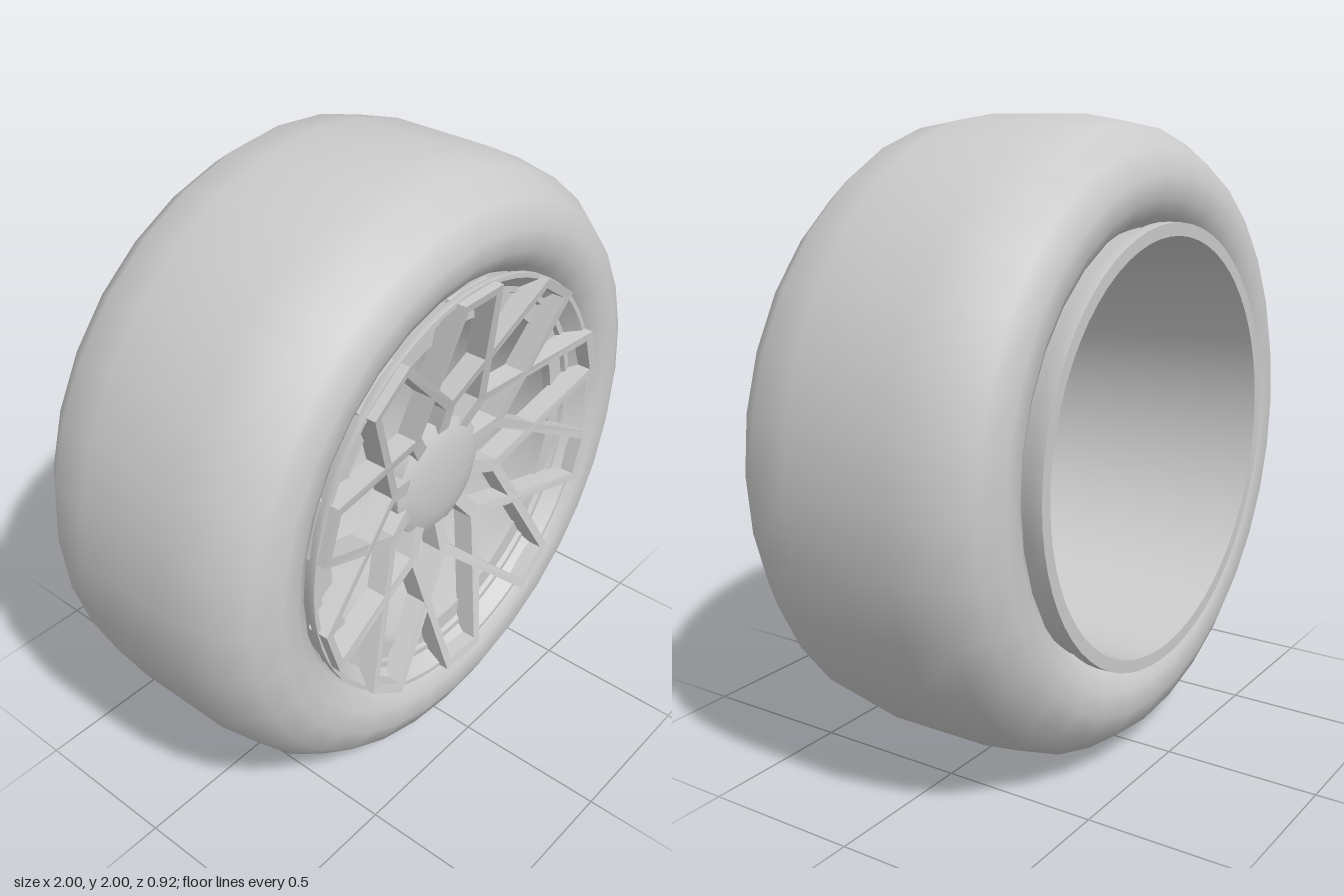
import * as THREE from 'three';
import { toCreasedNormals } from 'three/addons/utils/BufferGeometryUtils.js';

const material = new THREE.MeshStandardMaterial({ color: 0xcccccc });

// Turns a profile of [radius, z] points around the z axis
function turned(name, profile, segments, crease) {
  const points = profile.map(([r, z]) => new THREE.Vector2(r, z));
  let geometry = new THREE.LatheGeometry(points, segments).rotateX(Math.PI / 2);
  if (crease) geometry = toCreasedNormals(geometry, crease);
  const mesh = new THREE.Mesh(geometry, material);
  mesh.name = name;
  return mesh;
}

// Front surface of the spokes: dished towards the hub
const spokeFront = (r) => 0.46 - 0.24 * (0.68 - r);

// A flat bar between two points in the wheel plane, sheared to follow the dish
function bar(name, a, b, widthA, widthB, depth) {
  const from = new THREE.Vector2(...a);
  const to = new THREE.Vector2(...b);
  const dir = to.clone().sub(from).normalize();
  const side = new THREE.Vector2(-dir.y, dir.x);
  const corner = (p, w) => p.clone().addScaledVector(side, w / 2);
  const shape = new THREE.Shape([
    corner(from, -widthA), corner(to, -widthB), corner(to, widthB), corner(from, widthA),
  ]);
  const geometry = new THREE.ExtrudeGeometry(shape, { depth, bevelEnabled: false });
  const pos = geometry.attributes.position;
  for (let i = 0; i < pos.count; i++) {
    const r = Math.hypot(pos.getX(i), pos.getY(i));
    pos.setZ(i, pos.getZ(i) - depth + spokeFront(r));
  }
  geometry.computeVertexNormals();
  const mesh = new THREE.Mesh(geometry, material);
  mesh.name = name;
  return mesh;
}

export function createModel() {
  const wheel = new THREE.Group();
  wheel.name = 'wheel';
  wheel.position.y = 1;

  // Tyre: symmetric rounded section, closed inside
  const half = [[1, 0.17], [0.975, 0.315], [0.91, 0.405], [0.83, 0.443], [0.76, 0.437], [0.705, 0.405], [0.67, 0.35]];
  const section = [...half.map(([r, z]) => [r, -z]).reverse(), [1, 0], ...half];
  wheel.add(turned('tyre', [...section, section[0]], 32));

  // Rim: rear lip, tapered barrel and stepped front flange
  wheel.add(turned('rim', [
    [0.65, -0.462], [0.69, -0.462], [0.69, -0.42], [0.67, -0.38], [0.67, 0.38], [0.69, 0.41],
    [0.69, 0.43], [0.675, 0.43], [0.635, 0.385], [0.615, 0.385], [0.61, 0.37], [0.55, 0.37],
    [0.55, 0.34], [0.61, 0.34], [0.65, -0.462],
  ], 64, 0.6));

  // Hub: flat back, low dome in front
  wheel.add(turned('hub', [
    [0, 0.27], [0.2, 0.27], [0.2, 0.325], [0.17, 0.34], [0.12, 0.352], [0.06, 0.358], [0, 0.36],
  ], 40, 0.7));

  // Ten spokes: each has an outer bar, two spreading arms and a root at the hub
  const spokes = new THREE.Group();
  spokes.name = 'spokes';
  for (let i = 0; i < 10; i++) {
    const spoke = new THREE.Group();
    spoke.name = 'spoke';
    spoke.add(bar('spokeTip', [-0.088, 0.667], [0.088, 0.667], 0.028, 0.028, 0.07));
    for (const s of [-1, 1]) {
      spoke.add(bar('spokeArm', [s * 0.075, 0.678], [s * 0.16, 0.215], 0.028, 0.034, 0.07));
    }
    spoke.add(bar('spokeRoot', [0, 0.28], [0, 0.17], 0.045, 0.05, 0.07));
    spoke.rotation.z = (i * Math.PI) / 5;
    spokes.add(spoke);
  }
  wheel.add(spokes);

  const model = new THREE.Group();
  model.name = 'model';
  model.add(wheel);
  return model;
}
